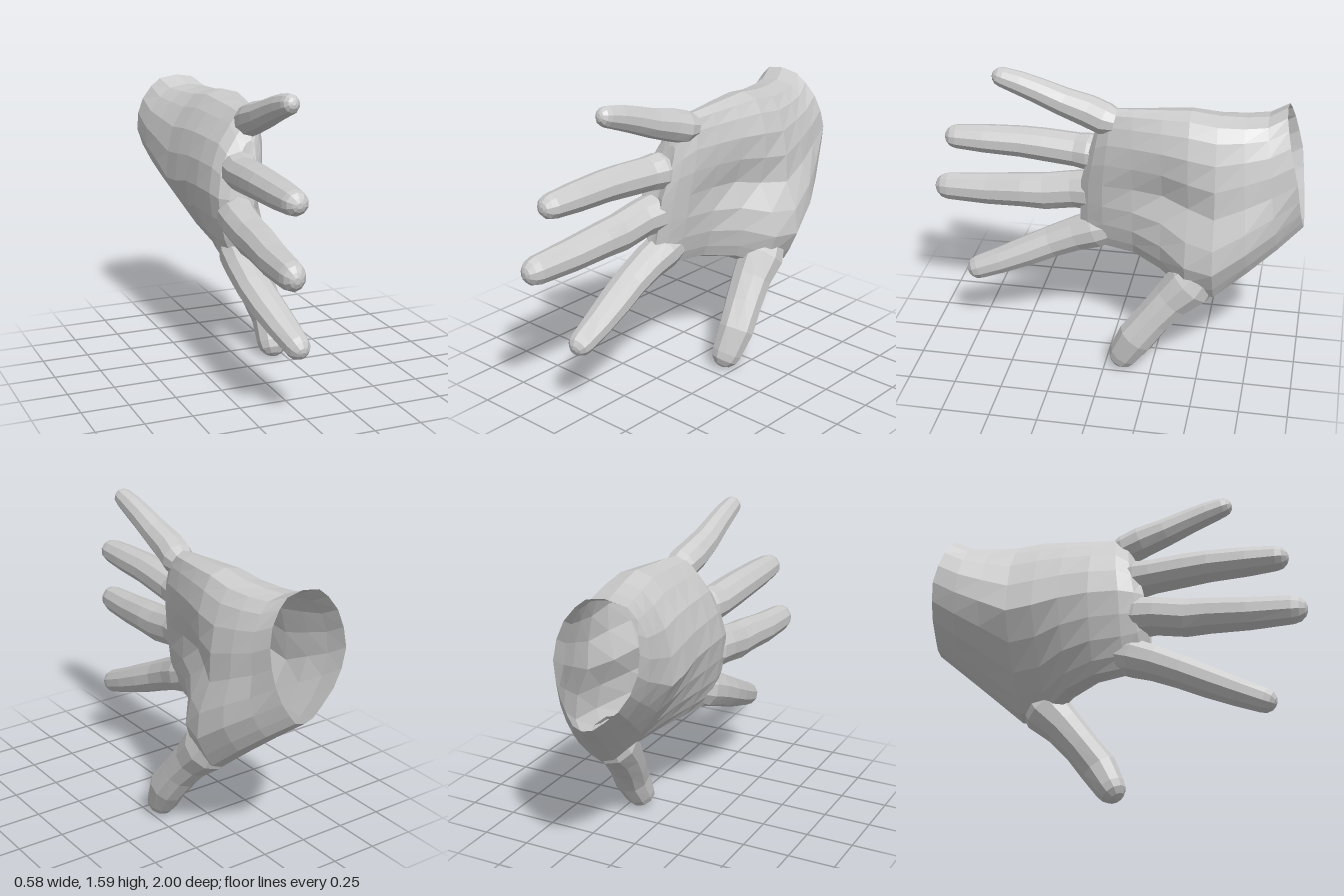
import * as THREE from 'three';

const material = new THREE.MeshStandardMaterial({ color: 0xcccccc, flatShading: true, side: THREE.DoubleSide });

// Skin a list of rings (arrays of Vector3, counter-clockwise about the direction of travel), closing the far end
function loft(name, rings) {
  const n = rings[0].length;
  const points = rings.flat();
  const index = [];
  for (let i = 0; i < rings.length - 1; i++) {
    for (let j = 0; j < n; j++) {
      const a = i * n + j, b = i * n + (j + 1) % n;
      index.push(a, b, a + n, b, b + n, a + n);
    }
  }
  const centre = new THREE.Vector3();
  rings[rings.length - 1].forEach(p => centre.addScaledVector(p, 1 / n));
  const start = points.length - n;
  const c = points.push(centre) - 1;
  for (let j = 0; j < n; j++) index.push(c, start + j, start + (j + 1) % n);
  const geometry = new THREE.BufferGeometry().setFromPoints(points);
  geometry.setIndex(index);
  geometry.computeVertexNormals();
  const mesh = new THREE.Mesh(geometry, material);
  mesh.name = name;
  return mesh;
}

// Finger: path stations [x, y, z, radius across x, radius in the plane of the hand]
function finger(name, path, sides = 10) {
  const centres = path.map(p => new THREE.Vector3(p[0], p[1], p[2]));
  const last = path.length - 1;
  const rings = [];
  const addRing = (c, t, rx, ry) => {
    const u = new THREE.Vector3(1, 0, 0).addScaledVector(t, -t.x).normalize();
    const v = new THREE.Vector3().crossVectors(t, u);
    rings.push(Array.from({ length: sides }, (_, j) => {
      const a = (j + 0.5) / sides * Math.PI * 2;
      return c.clone().addScaledVector(u, rx * Math.cos(a)).addScaledVector(v, ry * Math.sin(a));
    }));
  };
  path.forEach((p, i) => {
    const t = centres[Math.min(i + 1, last)].clone().sub(centres[Math.max(i - 1, 0)]).normalize();
    addRing(centres[i], t, p[3], p[4]);
    // Rounded fingertip
    if (i === last) {
      for (const [d, s] of [[0.5, 0.86], [0.85, 0.53], [0.98, 0.22]]) {
        addRing(centres[i].clone().addScaledVector(t, d * p[4]), t, p[3] * s, p[4] * s);
      }
    }
  });
  return loft(name, rings);
}

// Linear blend through evenly spaced values, t from 0 to 1
function blend(values, t) {
  const s = t * (values.length - 1);
  const i = Math.min(Math.floor(s), values.length - 2);
  return THREE.MathUtils.lerp(values[i], values[i + 1], s - i);
}

// Palm section: z from bottom to top, y range, back and palm-side x from bottom to top
function palmRing([z, y0, y1, back, front], sides = 20) {
  return Array.from({ length: sides }, (_, j) => {
    const a = j / sides * Math.PI * 2;
    const t = (1 + Math.sin(a)) / 2, c = Math.cos(a);
    const b = blend(back, t), f = blend(front, t);
    const w = Math.sign(c) * Math.pow(Math.abs(c), 0.55);
    return new THREE.Vector3((b + f) / 2 + w * (f - b) / 2, y0 + t * (y1 - y0), blend(z, t));
  });
}

export function createModel() {
  const hand = new THREE.Group();
  hand.name = 'hand';

  // Palm with the thumb mound, hollow and open at the wrist
  const sections = [
    [[-1.00, -0.96, -0.88], 0.83, 1.45, [-0.10, -0.24, -0.285, -0.295, -0.25], [0.08, 0.14, 0.16, 0.16, 0.10]],
    [[-0.88, -0.84, -0.79], 0.73, 1.41, [-0.08, -0.22, -0.275, -0.29, -0.23], [0.18, 0.22, 0.18, 0.18, 0.15]],
    [[-0.74, -0.71, -0.68], 0.61, 1.41, [-0.04, -0.18, -0.26, -0.27, -0.20], [0.24, 0.29, 0.21, 0.20, 0.18]],
    [[-0.57, -0.56, -0.55], 0.46, 1.42, [0.03, -0.13, -0.25, -0.25, -0.17], [0.26, 0.33, 0.22, 0.22, 0.20]],
    [[-0.42, -0.42, -0.41], 0.47, 1.44, [0.02, -0.14, -0.25, -0.24, -0.14], [0.25, 0.29, 0.15, 0.21, 0.19]],
    [[-0.28, -0.28, -0.27], 0.54, 1.43, [-0.08, -0.18, -0.24, -0.23, -0.12], [0.16, 0.17, 0.09, 0.17, 0.16]],
    [[-0.12, -0.12, -0.12], 0.57, 1.42, [-0.14, -0.21, -0.24, -0.22, -0.09], [0.05, 0.08, 0.07, 0.13, 0.12]],
    [[0.05, 0.04, -0.01], 0.575, 1.41, [-0.17, -0.21, -0.23, -0.20, -0.08], [0.00, 0.03, 0.05, 0.09, 0.09]],
    [[0.14, 0.12, 0.05], 0.61, 1.35, [-0.15, -0.20, -0.21, -0.18, -0.07], [-0.02, -0.01, 0.01, 0.05, 0.06]],
    [[0.18, 0.165, 0.09], 0.70, 1.26, [-0.12, -0.16, -0.17, -0.14, -0.06], [-0.05, -0.04, -0.03, 0.00, 0.02]],
  ];
  hand.add(loft('palm', sections.map(s => palmRing(s))));

  // Fingers, from the knuckles outwards
  hand.add(finger('littleFinger', [
    [0.01, 1.34, -0.03, 0.065, 0.065], [0.00, 1.35, 0.03, 0.085, 0.085], [-0.015, 1.38, 0.12, 0.082, 0.085],
    [-0.02, 1.42, 0.25, 0.074, 0.075], [-0.02, 1.47, 0.38, 0.064, 0.068], [-0.02, 1.505, 0.48, 0.058, 0.062],
    [-0.02, 1.53, 0.565, 0.05, 0.053],
  ]));
  hand.add(finger('ringFinger', [
    [-0.08, 1.12, 0.07, 0.09, 0.08], [-0.09, 1.115, 0.12, 0.10, 0.10], [-0.105, 1.115, 0.20, 0.094, 0.09],
    [-0.115, 1.125, 0.38, 0.09, 0.088], [-0.12, 1.13, 0.50, 0.087, 0.083], [-0.12, 1.13, 0.70, 0.08, 0.076],
    [-0.12, 1.13, 0.85, 0.068, 0.065],
  ]));
  hand.add(finger('middleFinger', [
    [-0.11, 0.89, 0.08, 0.09, 0.09], [-0.115, 0.88, 0.13, 0.105, 0.11], [-0.13, 0.87, 0.22, 0.098, 0.102],
    [-0.135, 0.84, 0.38, 0.092, 0.103], [-0.14, 0.835, 0.50, 0.09, 0.095], [-0.155, 0.815, 0.70, 0.082, 0.087],
    [-0.165, 0.805, 0.925, 0.067, 0.076],
  ]));
  hand.add(finger('indexFinger', [
    [-0.08, 0.69, 0.02, 0.085, 0.09], [-0.09, 0.665, 0.09, 0.10, 0.105], [-0.10, 0.62, 0.20, 0.096, 0.095],
    [-0.10, 0.555, 0.34, 0.092, 0.087], [-0.085, 0.495, 0.47, 0.09, 0.083], [-0.065, 0.43, 0.62, 0.08, 0.073],
    [-0.05, 0.38, 0.745, 0.065, 0.066],
  ]));

  // Thumb, growing out of the mound at the heel of the palm
  hand.add(finger('thumb', [
    [0.145, 0.58, -0.49, 0.105, 0.11], [0.145, 0.52, -0.445, 0.125, 0.13],
    [0.155, 0.42, -0.35, 0.11, 0.107], [0.175, 0.31, -0.26, 0.104, 0.097], [0.20, 0.19, -0.17, 0.096, 0.1],
    [0.19, 0.075, -0.105, 0.084, 0.082],
  ]));

  return hand;
}
